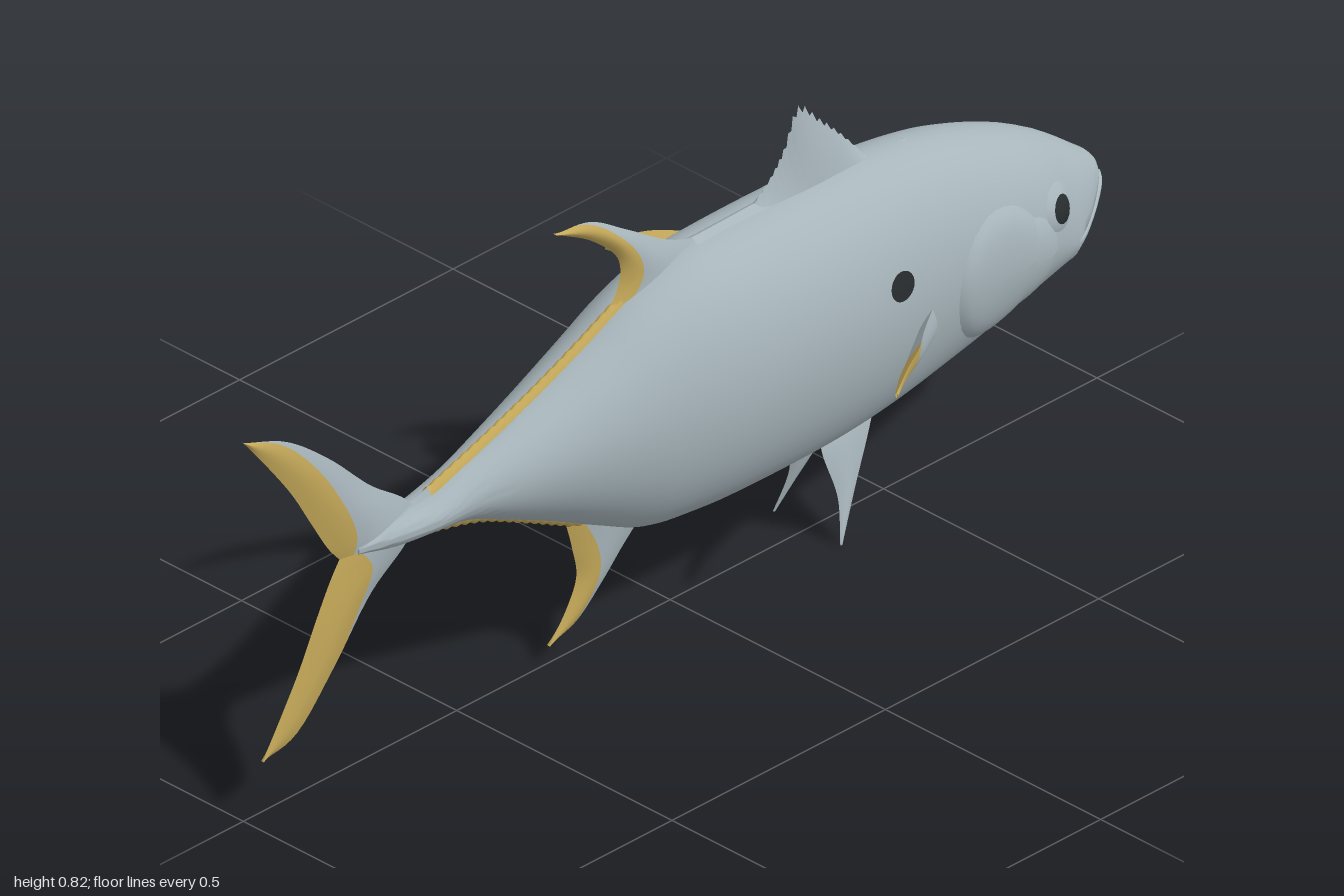
import * as THREE from 'three';
import { toCreasedNormals } from 'three/addons/utils/BufferGeometryUtils.js';

const mat = (name, color) => new THREE.MeshStandardMaterial({ name, color, side: THREE.DoubleSide });
const clamp = THREE.MathUtils.clamp;

// Cross-sections: x, top, bottom, widest height, half width
const BODY = [
  [-0.74, 0.425, 0.405, 0.415, 0.012], [-0.66, 0.44, 0.39, 0.415, 0.032],
  [-0.58, 0.448, 0.385, 0.415, 0.044], [-0.5, 0.473, 0.373, 0.42, 0.05],
  [-0.4, 0.507, 0.332, 0.42, 0.071], [-0.3, 0.545, 0.287, 0.42, 0.092],
  [-0.2, 0.588, 0.237, 0.42, 0.112], [-0.1, 0.635, 0.192, 0.42, 0.129],
  [0, 0.665, 0.178, 0.425, 0.142], [0.1, 0.672, 0.172, 0.43, 0.148],
  [0.3, 0.672, 0.173, 0.435, 0.15], [0.45, 0.668, 0.187, 0.435, 0.144],
  [0.6, 0.645, 0.218, 0.43, 0.137], [0.7, 0.615, 0.247, 0.415, 0.13],
  [0.8, 0.573, 0.278, 0.395, 0.116], [0.86, 0.539, 0.3, 0.365, 0.1],
];
const UPPER_JAW = [
  [0.86, 0.539, 0.363, 0.365, 0.1], [0.9, 0.511, 0.379, 0.387, 0.084],
  [0.94, 0.48, 0.402, 0.412, 0.06], [0.968, 0.458, 0.422, 0.432, 0.035],
  [0.98, 0.443, 0.437, 0.44, 0.01],
];
const LOWER_JAW = [
  [0.86, 0.367, 0.3, 0.365, 0.1], [0.9, 0.377, 0.32, 0.366, 0.08],
  [0.95, 0.396, 0.347, 0.385, 0.052], [0.985, 0.407, 0.378, 0.4, 0.027],
  [1, 0.407, 0.4, 0.404, 0.008],
];

// Smooth interpolation of a cross-section at x
function sample(rows, x) {
  let i = 0;
  while (i < rows.length - 2 && x > rows[i + 1][0]) i++;
  const p = rows[i], q = rows[i + 1], o = rows[i - 1] || p, r = rows[i + 2] || q;
  const d = q[0] - p[0], t = (x - p[0]) / d, t2 = t * t, t3 = t2 * t;
  return p.map((v, k) => {
    const m0 = (q[k] - o[k]) / (q[0] - o[0]) * d, m1 = (r[k] - v) / (r[0] - p[0]) * d;
    return (2 * t3 - 3 * t2 + 1) * v + (t3 - 2 * t2 + t) * m0 + (3 * t2 - 2 * t3) * q[k] + (t3 - t2) * m1;
  });
}

// Surface grid from a function (u, v) -> [x, y, z]
function grid(fn, nu, nv, flip = false) {
  const pos = [], idx = [];
  for (let i = 0; i <= nu; i++) for (let j = 0; j <= nv; j++) pos.push(...fn(i / nu, j / nv));
  for (let i = 0; i < nu; i++) for (let j = 0; j < nv; j++) {
    const a = i * (nv + 1) + j, b = a + 1, c = a + nv + 1, d = c + 1;
    if (flip) idx.push(a, b, c, b, d, c);
    else idx.push(a, c, b, b, c, d);
  }
  const g = new THREE.BufferGeometry();
  g.setAttribute('position', new THREE.Float32BufferAttribute(pos, 3));
  g.setIndex(idx);
  g.computeVertexNormals();
  return g;
}

// Closed-ended skin through the cross-sections
function loft(rows, nu, nv) {
  const x0 = rows[0][0], x1 = rows[rows.length - 1][0];
  const g = grid((u, v) => {
    const k = clamp((u * (nu + 2) - 1) / nu, 0, 1);
    const cap = u === 0 || u === 1 ? 0 : 1;
    const [x, top, bot, yc, w] = sample(rows, x0 + (x1 - x0) * k);
    const a = v * Math.PI * 2, c = -Math.cos(a);
    return [x, yc + cap * c * (c > 0 ? top - yc : yc - bot), -cap * w * Math.sin(a)];
  }, nu + 2, nv, true);
  return toCreasedNormals(g, 0.9);
}

// Oval patch lying on the flank; lift(r) raises it off the skin
function flankPatch(cx, cy, rx, ry, side, lift) {
  return grid((u, v) => {
    const a = v * Math.PI * 2;
    const x = cx + rx * u * Math.cos(a), y = cy + ry * u * Math.sin(a);
    const [, top, bot, yc, w] = sample(BODY, x);
    const k = (y - yc) / (y > yc ? top - yc : yc - bot);
    return [x, y, side * (w * Math.sqrt(Math.max(0.02, 1 - k * k)) + lift(u))];
  }, 10, 32, side < 0);
}

const curve = (pts) => new THREE.CatmullRomCurve3(pts.map(([x, y, z = 0]) => new THREE.Vector3(x, y, z)));

// Share of the chord that stays silver, shrinking from root to tip
const fade = (start, slope) => (t) => clamp(start - slope * t, 0, 1);

export function createModel() {
  const silver = mat('silver skin', 0xa8b6bc);
  const yellow = mat('yellow fin', 0xc6aa5a);
  const dark = mat('dark spot', 0x272c2e);
  const model = new THREE.Group();
  model.name = 'fish';
  const add = (name, geometry, material, parent = model) => {
    const m = new THREE.Mesh(geometry, material);
    m.name = name;
    parent.add(m);
  };

  // Fin between two edge curves, coloured silver up to split(t) and yellow beyond
  function fin(name, { lead, trail, thick, split = () => 1, normal = [0, 0, 1], n = 28, saw = 0, mirror = 1 }) {
    const A = curve(lead), B = curve(trail), group = new THREE.Group();
    const N = new THREE.Vector3(...normal).normalize();
    group.name = name;
    const face = (sgn, from, to) => grid((t, v) => {
      const s = THREE.MathUtils.lerp(from(t), to(t), v);
      const a = A.getPoint(t), b = B.getPoint(t);
      if (saw && Math.round(t * n) % 2) b.lerp(a, saw);
      const p = a.lerp(b, s).addScaledVector(N, sgn * thick(t, s));
      return [p.x, p.y, p.z * mirror];
    }, n, 8, sgn * mirror < 0);
    const hasYellow = [0, 0.5, 1].some((t) => split(t) < 1);
    const hasSilver = [0, 0.5, 1].some((t) => split(t) > 0);
    for (const sgn of [1, -1]) {
      if (hasSilver) add(name + 'Web', face(sgn, () => 0, split), silver, group);
      if (hasYellow) add(name + 'Edge', face(sgn, split, () => 1), yellow, group);
    }
    model.add(group);
  }
  const lens = (T) => (t, s) => T * (1 - 0.8 * t) * Math.sin(Math.PI * s);
  const wedge = (T) => (t, s) => T * (1 - s);
  const dome = (T) => (t, s) => T * Math.sqrt(1 - s);

  // Body and jaws
  add('body', loft(BODY, 80, 48), silver);
  add('upperJaw', loft(UPPER_JAW, 16, 48), silver);
  add('lowerJaw', loft(LOWER_JAW, 16, 48), silver);

  // Tail lobes
  fin('upperTailLobe', {
    lead: [[-0.58, 0.415], [-0.625, 0.465], [-0.7, 0.52], [-0.8, 0.615], [-0.9, 0.69], [-1, 0.73]],
    trail: [[-0.775, 0.41], [-0.8, 0.44], [-0.84, 0.505], [-0.885, 0.58], [-0.94, 0.655], [-1, 0.73]],
    thick: lens(0.016), split: fade(0.86, 0.9),
  });
  fin('lowerTailLobe', {
    lead: [[-0.58, 0.415], [-0.625, 0.37], [-0.7, 0.315], [-0.79, 0.205], [-0.88, 0.115], [-0.955, 0.098]],
    trail: [[-0.775, 0.41], [-0.795, 0.38], [-0.83, 0.315], [-0.87, 0.235], [-0.912, 0.165], [-0.955, 0.098]],
    thick: lens(0.016), split: fade(0.8, 1.5),
  });

  // Second dorsal fin and anal fin
  fin('rearDorsalFin', {
    lead: [[0.1, 0.66], [0, 0.695], [-0.1, 0.757], [-0.19, 0.81], [-0.27, 0.82]],
    trail: [[-0.2, 0.575], [-0.125, 0.65], [-0.12, 0.705], [-0.18, 0.768], [-0.27, 0.82]],
    thick: lens(0.02), split: fade(0.86, 1.0),
  });
  fin('analFin', {
    lead: [[-0.06, 0.2], [-0.11, 0.155], [-0.16, 0.105], [-0.22, 0.055], [-0.285, 0.035]],
    trail: [[-0.25, 0.27], [-0.23, 0.2], [-0.22, 0.14], [-0.245, 0.085], [-0.285, 0.035]],
    thick: lens(0.018), split: fade(0.85, 1.05),
  });

  // Low toothed finlets along the back and belly
  const ridge = (k, d) => [-0.12, -0.23, -0.34, -0.45, -0.57].map((x) => [x, sample(BODY, x)[k] + d]);
  fin('backFinlets', { lead: ridge(1, -0.004), trail: ridge(1, 0.012), thick: dome(0.012), split: () => 0, n: 44, saw: 0.25 });
  fin('bellyFinlets', { lead: ridge(2, 0.004), trail: ridge(2, -0.012), thick: dome(0.012), split: () => 0, n: 44, saw: 0.25 });

  // Spiny first dorsal fin with a low ridge along the back
  fin('spinyDorsalFin', {
    lead: [[0.46, 0.655], [0.33, 0.66], [0.19, 0.66]],
    trail: [[0.45, 0.672], [0.4, 0.73], [0.35, 0.78], [0.3, 0.825], [0.265, 0.755], [0.235, 0.715], [0.195, 0.68]],
    thick: wedge(0.02), n: 36, saw: 0.1,
  });
  fin('backRidge', {
    lead: [[0.55, 0.645], [0.3, 0.66], [0.05, 0.66]], trail: [[0.55, 0.656], [0.3, 0.68], [0.05, 0.678]],
    thick: wedge(0.03),
  });

  for (const side of [1, -1]) {
    const label = side > 0 ? 'left' : 'right';
    // Paired fins
    fin(label + 'PectoralFin', {
      lead: [[0.49, 0.325, 0.11], [0.395, 0.35, 0.172], [0.31, 0.39, 0.232], [0.235, 0.43, 0.295], [0.19, 0.452, 0.338]],
      trail: [[0.51, 0.415, 0.115], [0.4, 0.435, 0.195], [0.31, 0.465, 0.27], [0.245, 0.475, 0.31], [0.19, 0.462, 0.338]],
      thick: lens(0.014), normal: [0.6, -0.25, 0.76], mirror: side, split: fade(3, 5),
    });
    fin(label + 'PelvicFin', {
      lead: [[0.47, 0.215, 0.015], [0.43, 0.16, 0.035], [0.375, 0.08, 0.057], [0.325, 0.003, 0.078]],
      trail: [[0.33, 0.2, 0.02], [0.32, 0.165, 0.035], [0.335, 0.08, 0.057], [0.32, 0.003, 0.078]],
      thick: lens(0.01), normal: [0, 0.3, 0.95], mirror: side,
    });
    // Gill cover, cheek, eye and shoulder spot
    add(label + 'GillCover', flankPatch(0.645, 0.405, 0.11, 0.125, side, (r) => 0.012 * (1 - r ** 8) - 0.002), silver);
    add(label + 'Cheek', flankPatch(0.72, 0.39, 0.075, 0.09, side, (r) => 0.011 * (1 - r ** 4) - 0.002), silver);
    add(label + 'EyeRim', flankPatch(0.803, 0.46, 0.038, 0.04, side, (r) => 0.009 - 0.008 * r * r), silver);
    add(label + 'Pupil', flankPatch(0.803, 0.46, 0.023, 0.024, side, (r) => 0.013 - 0.004 * r * r), dark);
    add(label + 'ShoulderSpot', flankPatch(0.4, 0.495, 0.028, 0.026, side, () => 0.003), dark);
  }
  return model;
}
